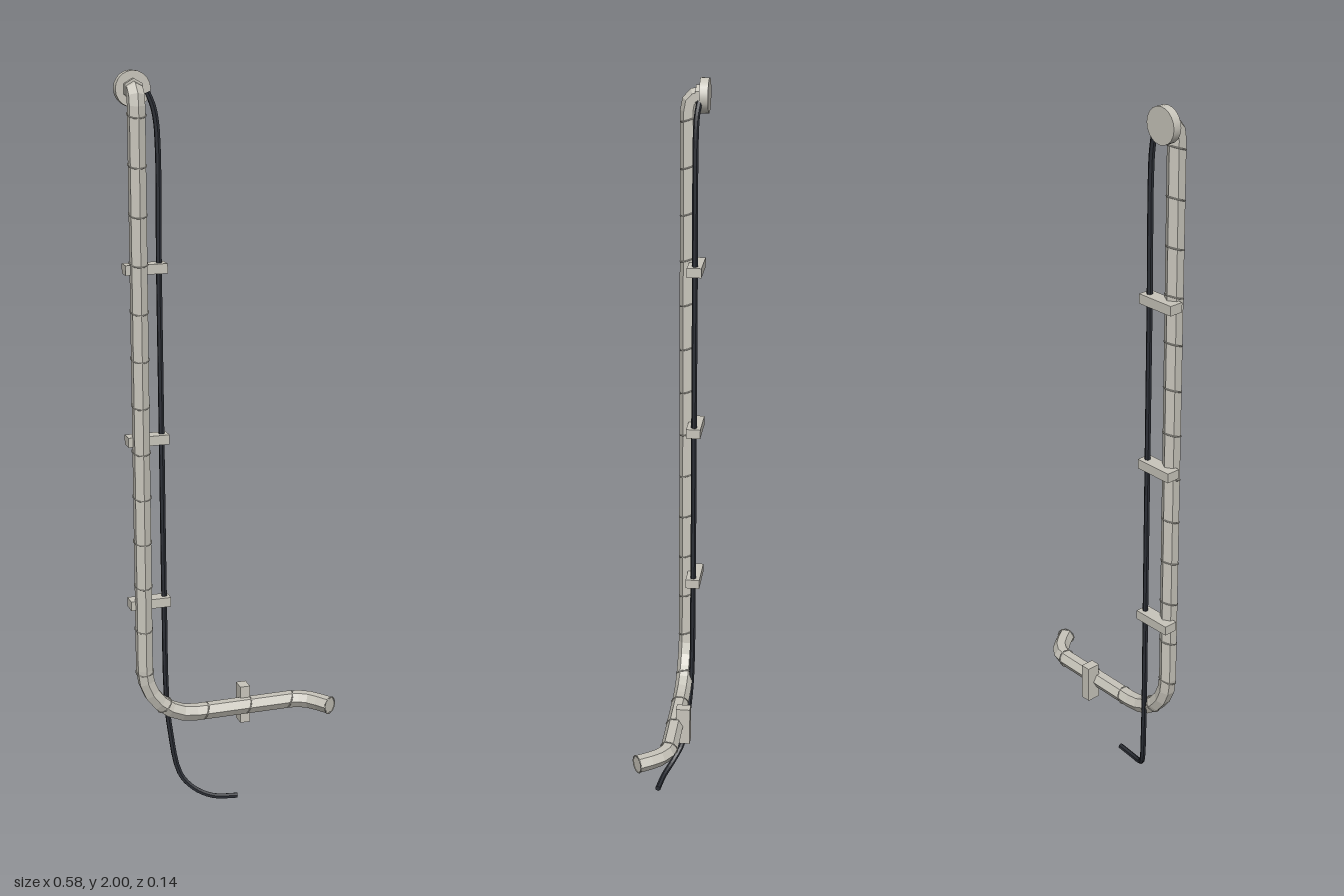
import * as THREE from 'three';

const V = (x, y, z) => new THREE.Vector3(x, y, z);

// Sweep a regular polygon along points without twisting, with both ends capped.
function sweep(points, radius, sides, startNormal) {
  const pos = [], index = [], n = startNormal.clone(), last = points.length - 1;
  points.forEach((p, i) => {
    const a = points[Math.max(i - 1, 0)], b = points[Math.min(i + 1, last)];
    const t = b.clone().sub(a).normalize();
    n.addScaledVector(t, -n.dot(t)).normalize();
    const bi = t.clone().cross(n);
    for (let k = 0; k < sides; k++) {
      const ang = (k / sides) * Math.PI * 2;
      const q = p.clone().addScaledVector(n, Math.cos(ang) * radius).addScaledVector(bi, Math.sin(ang) * radius);
      pos.push(q.x, q.y, q.z);
    }
  });
  for (let i = 0; i < last; i++) {
    for (let k = 0; k < sides; k++) {
      const a = i * sides + k, b = i * sides + ((k + 1) % sides);
      index.push(a, b, a + sides, b, b + sides, a + sides);
    }
  }
  const e = last * sides;
  for (let k = 1; k < sides - 1; k++) index.push(0, k + 1, k, e, e + k, e + k + 1);
  const g = new THREE.BufferGeometry();
  g.setAttribute('position', new THREE.Float32BufferAttribute(pos, 3));
  g.setIndex(index);
  const flat = g.toNonIndexed();
  flat.computeVertexNormals();
  return flat;
}

export function createModel() {
  const model = new THREE.Group();
  const metal = new THREE.MeshStandardMaterial({ color: 0xc8c5bb });
  metal.name = 'pale grey metal';
  const rubber = new THREE.MeshStandardMaterial({ color: 0x2b2e35 });
  rubber.name = 'black rubber';

  function add(name, geometry, material, x = 0, y = 0, z = 0) {
    const mesh = new THREE.Mesh(geometry, material);
    mesh.name = name;
    mesh.position.set(x, y, z);
    model.add(mesh);
    return mesh;
  }

  const px = -0.246, pz = -0.021, py = 0.253, bend = 0.147;

  // Pipe path: top elbow, long drop, quarter bend, run along the wall, outlet bend
  const path = [V(px, 1.953, -0.055), V(px, 1.95, -0.036), V(px, 1.938, -0.025), V(px, 1.915, pz)];
  for (let i = 0; i <= 6; i++) {
    const a = (i / 6) * Math.PI / 2;
    path.push(V(px + bend * (1 - Math.cos(a)), py + bend * (1 - Math.sin(a)), pz));
  }
  path.push(V(0.175, py, pz), V(0.203, py, -0.016), V(0.228, py, 0), V(0.248, py, 0.024), V(0.269, py, 0.055));
  add('pipe', sweep(path, 0.0238, 6, V(0, 1, 0)), metal);

  // Thin tilted bands at even steps along the pipe
  const curve = new THREE.CurvePath();
  for (let i = 1; i < path.length; i++) curve.add(new THREE.LineCurve3(path[i - 1], path[i]));
  const total = curve.getLength(), step = 0.125;
  const bandGeo = new THREE.TorusGeometry(0.0242, 0.0018, 4, 12);
  const count = Math.round((total - 0.08) / step);
  for (let i = 0; i <= count; i++) {
    const u = i === count ? 1 : Math.min((0.08 + i * step) / total, 1);
    const p = curve.getPointAt(u), t = curve.getTangentAt(u);
    const tilt = i === count ? 0 : 0.35;
    const normal = t.clone().add(V(0, -tilt * Math.abs(t.x), -tilt * Math.abs(t.y))).normalize();
    const band = add('pipeBand', bandGeo, metal, p.x, p.y, p.z);
    band.quaternion.setFromUnitVectors(V(0, 0, 1), normal);
  }

  // Round wall flange with a hexagonal collar
  const flange = new THREE.CylinderGeometry(0.046, 0.046, 0.023, 20);
  flange.rotateX(Math.PI / 2);
  add('wallFlange', flange, metal, px + 0.001, 1.954, -0.0625);
  const collar = new THREE.CylinderGeometry(0.027, 0.027, 0.014, 6).toNonIndexed();
  collar.rotateY(Math.PI / 2).rotateX(Math.PI / 2).rotateZ(Math.PI / 6);
  collar.computeVertexNormals();
  add('flangeCollar', collar, metal, px, 1.954, -0.046);

  // Wall clamps: three on the drop, one on the horizontal run
  for (const y of [1.5, 1.043, 0.585]) {
    add('wallClamp', new THREE.BoxGeometry(0.112, 0.026, 0.039), metal, -0.223, y, -0.0445);
  }
  add('lowerWallClamp', new THREE.BoxGeometry(0.028, 0.108, 0.039), metal, 0.046, 0.253, -0.0445);

  // Cable hanging beside the pipe and curling forward at the bottom
  const cable = new THREE.CatmullRomCurve3([
    V(-0.208, 1.945, -0.052), V(-0.195, 1.91, -0.047), V(-0.186, 1.85, -0.045), V(-0.185, 1.5, -0.045),
    V(-0.183, 1.04, -0.045), V(-0.181, 0.585, -0.045), V(-0.178, 0.3, -0.043), V(-0.17, 0.2, -0.037),
    V(-0.148, 0.075, -0.02), V(-0.115, 0.035, 0.002), V(-0.065, 0.013, 0.024), V(0.003, 0.008, 0.034),
  ], false, 'centripetal');
  add('cable', sweep(cable.getPoints(44), 0.0078, 6, V(0, 0, 1)), rubber);

  return model;
}
